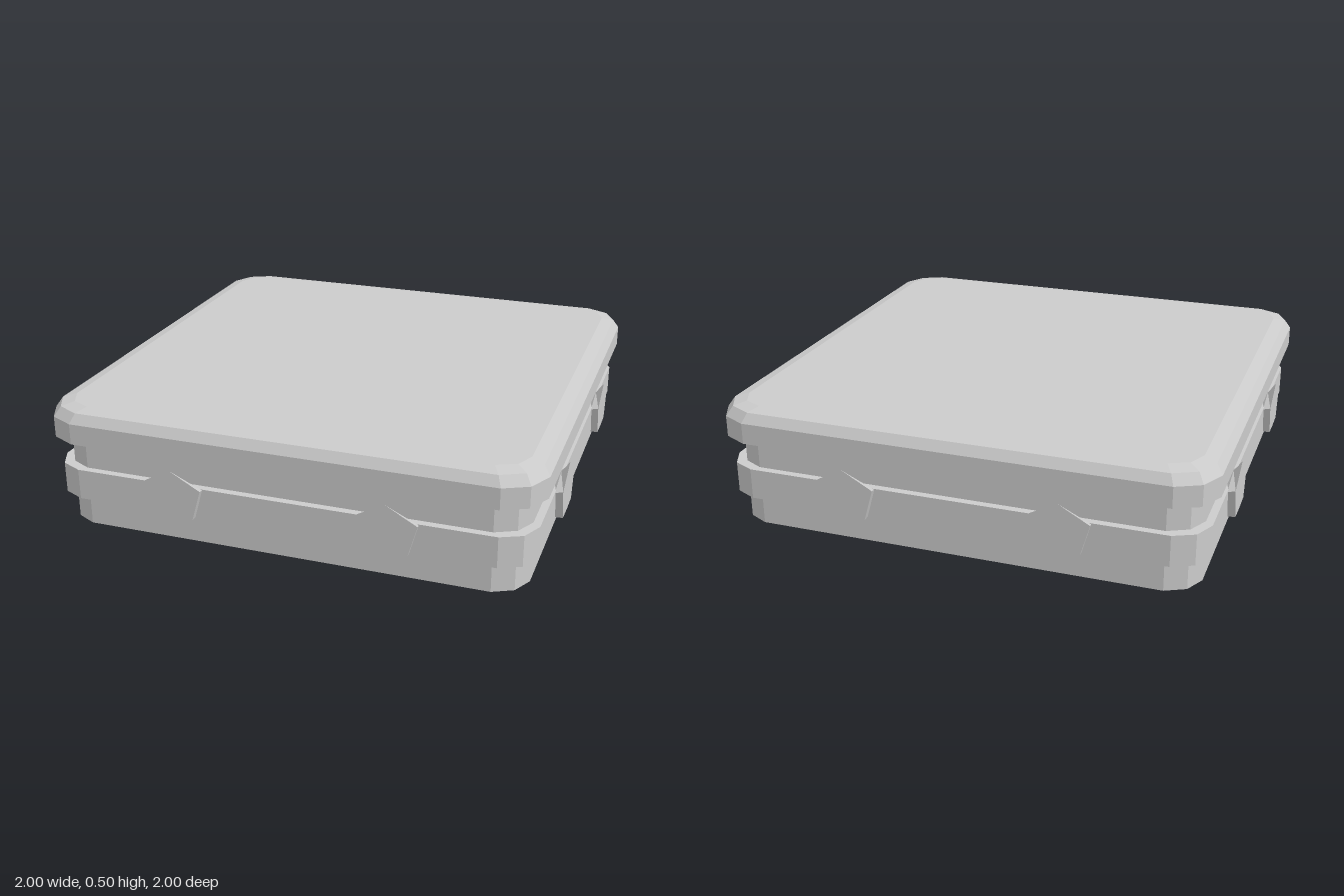
import * as THREE from 'three';

const material = new THREE.MeshStandardMaterial({ color: 0xcccccc, flatShading: true });

// Skin counter-clockwise xy cross-sections stacked along +z, with both ends capped
function loft(rings) {
  const pos = [];
  const tri = (...pts) => pts.forEach((p) => pos.push(...p));
  const loops = rings.map(({ points, z }) => points.map(([x, y]) => [x, y, z]));
  const n = loops[0].length;
  for (let r = 0; r < loops.length - 1; r++) {
    const a = loops[r], b = loops[r + 1];
    for (let i = 0; i < n; i++) {
      const j = (i + 1) % n;
      tri(a[i], a[j], b[j]);
      tri(a[i], b[j], b[i]);
    }
  }
  const first = loops[0], last = loops[loops.length - 1];
  for (let i = 1; i < n - 1; i++) {
    tri(first[0], first[i + 1], first[i]);
    tri(last[0], last[i], last[i + 1]);
  }
  const geo = new THREE.BufferGeometry();
  geo.setAttribute('position', new THREE.Float32BufferAttribute(pos, 3));
  geo.computeVertexNormals();
  return geo;
}

// Square with each corner cut into two facets
function roundedSquare(half, cut, mid) {
  const points = [];
  for (let q = 0; q < 4; q++) {
    const c = [1, 0, -1, 0][q], s = [0, 1, 0, -1][q];
    for (const [u, v] of [[half, half - cut], [half - mid, half - mid], [half - cut, half]]) {
      points.push([u * c - v * s, u * s + v * c]);
    }
  }
  return points;
}

// Upright slab from [height, half width, corner cut, corner middle] levels
function slab(name, levels) {
  const geo = loft(levels.map(([z, half, cut, mid]) => ({ z, points: roundedSquare(half, cut, mid) })));
  geo.rotateX(-Math.PI / 2);
  const mesh = new THREE.Mesh(geo, material);
  mesh.name = name;
  return mesh;
}

// Pentagon outline with a middle point on its lower edge
function pentagon(top, shoulder, wide, foot, narrow, low) {
  return [[0, top], [-wide, shoulder], [-narrow, foot], [0, low], [narrow, foot], [wide, shoulder]];
}

export function createModel() {
  const group = new THREE.Group();

  group.add(slab('body', [[0, 0.94, 0.12, 0.04], [0.38, 0.94, 0.12, 0.04]]));
  group.add(slab('band', [[0.12, 0.97, 0.125, 0.04], [0.245, 0.97, 0.125, 0.04]]));
  group.add(slab('lid', [
    [0.365, 0.995, 0.145, 0.048],
    [0.45, 0.995, 0.145, 0.048],
    [0.488, 0.97, 0.135, 0.045],
    [0.5, 0.92, 0.11, 0.035],
  ]));

  // Faceted studs, two on every side, narrowing toward the body
  const studGeo = loft([
    { z: 0.92, points: pentagon(0.225, 0.21, 0.1, 0.13, 0.07, 0.12) },
    { z: 0.968, points: pentagon(0.275, 0.24, 0.122, 0.12, 0.088, 0.103) },
    { z: 1, points: pentagon(0.32, 0.25, 0.127, 0.122, 0.09, 0.118) },
  ]);
  for (let side = 0; side < 4; side++) {
    const pair = new THREE.Group();
    pair.name = 'studPair';
    for (const x of [-0.43, 0.43]) {
      const stud = new THREE.Mesh(studGeo, material);
      stud.name = 'stud';
      stud.position.x = x;
      pair.add(stud);
    }
    pair.rotation.y = side * Math.PI / 2;
    group.add(pair);
  }
  return group;
}
